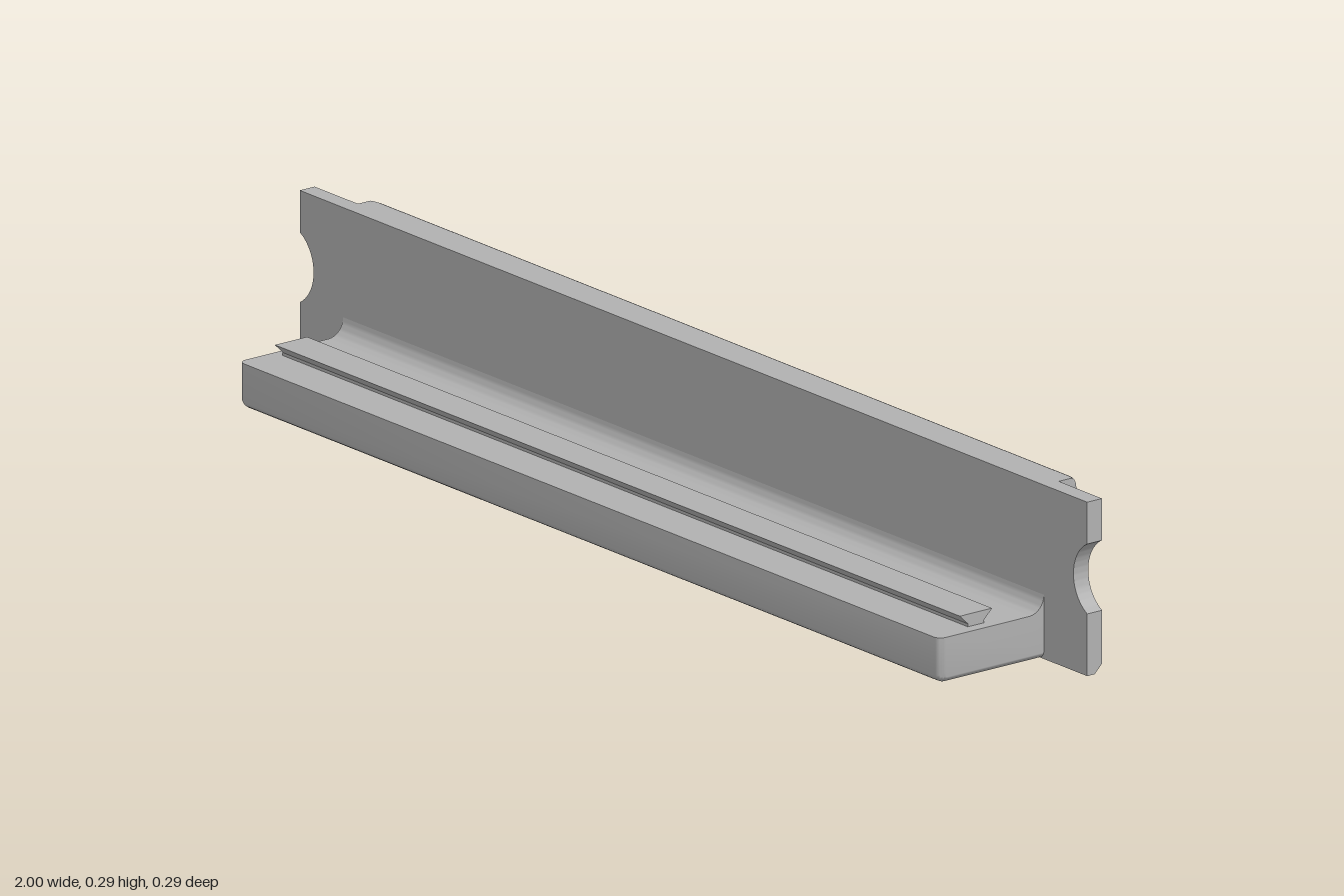
import * as THREE from 'three';
import { toCreasedNormals } from 'three/addons/utils/BufferGeometryUtils.js';

// Points on an arc in the (z, y) plane; shift(cos, sin) says how a point moves in at the rounded ends
function arc(cz, cy, r, from, to, steps, shift = () => [0, 0]) {
  return Array.from({ length: steps + 1 }, (_, i) => {
    const t = THREE.MathUtils.degToRad(from + (to - from) * i / steps);
    const c = Math.cos(t), s = Math.sin(t);
    return [cz + r * c, cy + r * s, ...shift(c, s)];
  });
}

// Bar along x from a counter-clockwise profile of [z, y, shiftZ, shiftY], with ends rounded by radius
function bar(profile, half, radius = 0) {
  const stations = [];
  const steps = radius ? 6 : 0;
  for (let i = 0; i <= steps; i++) {
    const t = steps ? (i / steps) * Math.PI / 2 : 0;
    stations.push([half - radius * (1 - Math.cos(t)), radius * (1 - Math.sin(t))]);
  }
  // Outermost station has the full inset, innermost has none
  const all = [...stations.map(([, d], i) => [-(half - radius * (1 - Math.cos(steps ? (i / steps) * Math.PI / 2 : 0))), d]),
    ...stations.slice().reverse()];
  const rings = all.map(([x, d]) => profile.map(([z, y, sz = 0, sy = 0]) => [x, y + sy * d, z + sz * d]));
  const pos = [];
  const tri = (...corners) => corners.forEach(p => pos.push(...p));
  const n = profile.length;
  for (let k = 0; k < rings.length - 1; k++) {
    for (let i = 0; i < n; i++) {
      const j = (i + 1) % n, A = rings[k], B = rings[k + 1];
      tri(A[i], B[j], A[j]);
      tri(A[i], B[i], B[j]);
    }
  }
  // End caps
  const first = rings[0], last = rings[rings.length - 1];
  const outline = first.map(p => new THREE.Vector2(p[2], p[1]));
  for (const [a, b, c] of THREE.ShapeUtils.triangulateShape(outline, [])) {
    tri(first[a], first[b], first[c]);
    tri(last[a], last[c], last[b]);
  }
  const g = new THREE.BufferGeometry();
  g.setAttribute('position', new THREE.Float32BufferAttribute(pos, 3));
  return toCreasedNormals(g, 0.55);
}

export function createModel() {
  const group = new THREE.Group();
  const grey = new THREE.MeshStandardMaterial({ color: 0xb0b0b0 });
  grey.name = 'grey';
  const add = (name, geometry) => {
    const mesh = new THREE.Mesh(geometry, grey);
    mesh.name = name;
    group.add(mesh);
    return mesh;
  };

  const front = -0.068, back = -0.098, top = 0.29, seam = 0.05;

  // Mounting plate with a round notch in each end
  const r = 0.066, cx = 1.031, cy = 0.162;
  const a = Math.acos((cx - 1) / r);
  const plate = new THREE.Shape();
  plate.moveTo(-1, seam);
  plate.lineTo(1, seam);
  plate.absarc(cx, cy, r, Math.PI + a, Math.PI - a, true);
  plate.lineTo(1, top);
  plate.lineTo(-1, top);
  plate.absarc(-cx, cy, r, a, -a, true);
  plate.closePath();
  const plateGeometry = new THREE.ExtrudeGeometry(plate, { depth: front - back, bevelEnabled: false, curveSegments: 20 });
  add('mountingPlate', toCreasedNormals(plateGeometry, 0.55)).position.z = back;

  // Lower strip of the plate, chamfered at the back
  add('plateFoot', bar([[-0.083, 0], [front, 0], [front, seam], [back, seam], [back, 0.015]], 1));

  // Padded back body, curving into the 45 degree underside
  add('backBody', bar([
    [back, 0.015, 0, 1.414],
    [back, top],
    ...arc(-0.123, 0.27, 0.02, 90, 180, 6, c => [-c, 0]),
    ...arc(-0.046, 0.1, 0.097, 180, 225, 8, (c, s) => [-c, -s]),
  ], 0.89, 0.018));

  // Ledge with a rounded lower edge and a fillet against the plate
  add('ledge', bar([
    [front, 0, 0, 1],
    ...arc(0.126, 0.018, 0.018, -90, 0, 6, (c, s) => [-c, -s]),
    [0.144, 0.077, -1, 0],
    ...arc(-0.038, 0.107, 0.03, 270, 180, 8),
  ], 0.89, 0.014));

  // Dovetail rail on the ledge
  add('dovetailRail', bar([
    [0.037, 0.075], [0.07, 0.075], [0.07, 0.082], [0.086, 0.098], [0.021, 0.098], [0.037, 0.082],
  ], 0.87));

  return group;
}
